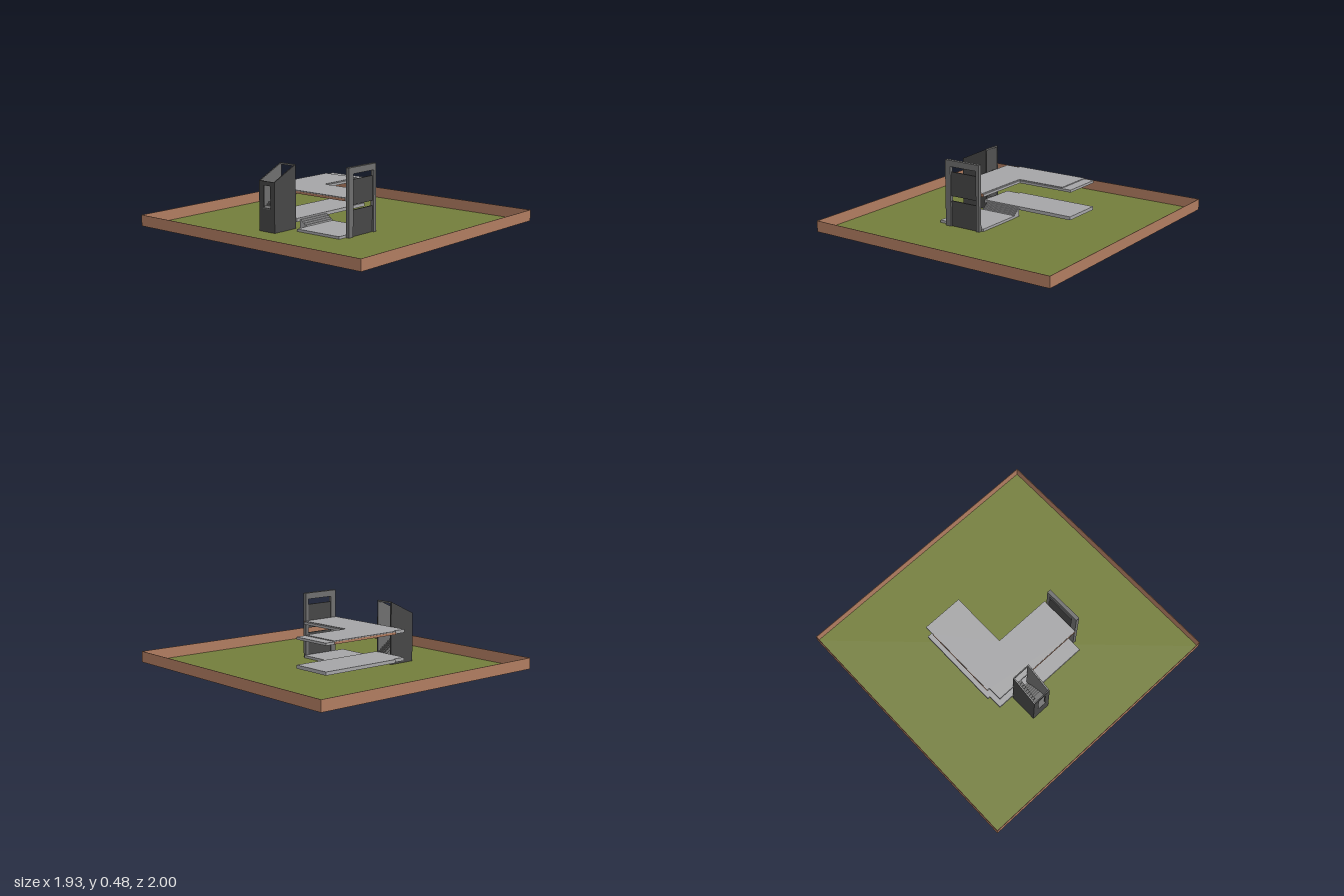
import * as THREE from 'three';

const mat = (name, color) => Object.assign(new THREE.MeshStandardMaterial({ color }), { name });

export function createModel() {
  const grass = mat('grass', 0x737d3b);
  grass.side = THREE.DoubleSide;
  const brick = mat('brick', 0xb07c60);
  const concrete = mat('pale concrete', 0xa5a5a7);
  const stone = mat('mid grey stone', 0x6e6e6e);
  const dark = mat('dark cladding', 0x464646);
  const root = new THREE.Group();
  root.name = 'houseOnPlot';

  const add = (name, geo, material, parent = root) => {
    const m = new THREE.Mesh(geo, material);
    m.name = name;
    parent.add(m);
    return m;
  };
  const group = (name) => {
    const g = new THREE.Group();
    g.name = name;
    root.add(g);
    return g;
  };
  // Box given by its minimum and maximum on each axis
  const box = (name, x0, x1, y0, y1, z0, z1, material, parent) =>
    add(name, new THREE.BoxGeometry(x1 - x0, y1 - y0, z1 - z0)
      .translate((x0 + x1) / 2, (y0 + y1) / 2, (z0 + z1) / 2), material, parent);
  const extrude = (pts, depth) => new THREE.ExtrudeGeometry(
    new THREE.Shape(pts.map(([a, b]) => new THREE.Vector2(a, b))), { depth, bevelEnabled: false });
  // Horizontal slab from an (x, z) outline
  const slab = (name, pts, y0, y1, material) =>
    add(name, extrude(pts.map(([x, z]) => [x, -z]), y1 - y0).rotateX(-Math.PI / 2).translate(0, y0, 0), material);
  // Upright plate from an (x, y) outline
  const plate = (name, pts, z0, z1, material, parent) =>
    add(name, extrude(pts, z1 - z0).translate(0, 0, z0), material, parent);

  // Plot with its low boundary wall
  add('lawn', new THREE.PlaneGeometry(1.93, 2).rotateX(-Math.PI / 2).translate(0, 0.001, 0), grass);
  const fence = group('boundaryWall');
  for (const s of [-1, 1]) {
    box('sideWall', s * 0.963 - 0.002, s * 0.963 + 0.002, 0, 0.08, -1, 1, brick, fence);
    box('endWall', -0.961, 0.961, 0, 0.08, s * 0.998 - 0.002, s * 0.998 + 0.002, brick, fence);
  }

  // Floors and roof
  const backPart = [[-0.33, -0.385], [-0.225, -0.385], [-0.225, -0.405], [0.415, -0.405], [0.415, -0.095]];
  slab('raisedFloor', [...backPart, [-0.33, -0.095]], 0.05, 0.075, concrete);
  box('frontTerrace', -0.395, -0.018, 0.002, 0.02, -0.035, 0.345, concrete);
  slab('roofSlab', [...backPart, [-0.015, -0.095], [-0.015, 0.343], [-0.33, 0.343]], 0.252, 0.27, concrete);
  slab('roofCover', [[-0.33, -0.385], [-0.225, -0.385], [-0.225, -0.405], [0.34, -0.405], [0.34, -0.105],
    [-0.025, -0.105], [-0.025, 0.343], [-0.33, 0.343]], 0.27, 0.276, concrete);
  const trim = group('roofEdgeTrim');
  box('backTrim', -0.225, 0.34, 0.253, 0.269, -0.407, -0.405, brick, trim);
  box('sideTrim', -0.332, -0.33, 0.253, 0.269, -0.1, 0.343, brick, trim);
  box('frontTrim', -0.035, -0.015, 0.253, 0.274, 0.343, 0.346, brick, trim);

  // Steps from the terrace to the raised floor
  const steps = group('terraceSteps');
  for (let i = 0; i < 4; i++)
    box('step', -0.3, -0.02, 0.003, 0.031 + i * 0.011, -0.05 - i * 0.015, -0.035 - i * 0.015, concrete, steps);

  // Tall front frame with two recessed panels and two open slots
  const frame = group('frontFrame');
  box('widePost', -0.325, -0.28, 0, 0.48, 0.345, 0.372, stone, frame);
  box('narrowPost', -0.06, -0.035, 0, 0.48, 0.345, 0.372, stone, frame);
  box('lintel', -0.28, -0.06, 0.435, 0.48, 0.345, 0.372, stone, frame);
  box('lowerPanel', -0.28, -0.06, 0, 0.185, 0.35, 0.36, dark, frame);
  box('upperPanel', -0.28, -0.06, 0.22, 0.395, 0.35, 0.36, dark, frame);

  // Open-topped stair tower with a sloping rim
  const tower = group('stairTower');
  const side = [[-0.54, 0], [-0.325, 0], [-0.325, 0.455], [-0.54, 0.355]];
  const lining = [[-0.532, 0], [-0.324, 0], [-0.324, 0.4545], [-0.532, 0.358]];
  plate('frontSide', side, -0.117, -0.11, dark, tower);
  plate('backSide', side, -0.255, -0.248, dark, tower);
  plate('frontLining', lining, -0.12, -0.117, stone, tower);
  plate('backLining', lining, -0.248, -0.245, stone, tower);
  for (const [x0, x1, m] of [[-0.54, -0.535, dark], [-0.535, -0.531, stone]]) {
    box('endWallBelowWindow', x0, x1, 0, 0.17, -0.248, -0.117, m, tower);
    box('endWallAboveWindow', x0, x1, 0.325, 0.355, -0.248, -0.117, m, tower);
    box('endWallBack', x0, x1, 0.17, 0.325, -0.248, -0.212, m, tower);
    box('endWallFront', x0, x1, 0.17, 0.325, -0.15, -0.117, m, tower);
  }
  box('windowSill', -0.547, -0.535, 0.163, 0.17, -0.215, -0.148, stone, tower);
  box('topBar', -0.333, -0.325, 0.443, 0.455, -0.248, -0.117, stone, tower);

  // Two stair flights and the landing between them
  const flight = (name, xStart, xEnd, y0, y1, z0, z1) => {
    const n = 8, dx = (xEnd - xStart) / n, dy = (y1 - y0) / n;
    const pts = [[xStart, y0]];
    for (let i = 0; i < n; i++)
      pts.push([xStart + i * dx, y0 + (i + 1) * dy], [xStart + (i + 1) * dx, y0 + (i + 1) * dy]);
    pts.push([xEnd, y1 - 0.025], [xStart, y0 - 0.02]);
    plate(name, pts, z0, z1, stone, tower);
  };
  flight('lowerFlight', -0.33, -0.475, 0.07, 0.17, -0.18, -0.12);
  flight('upperFlight', -0.475, -0.33, 0.17, 0.27, -0.245, -0.185);
  box('landing', -0.531, -0.475, 0.15, 0.17, -0.245, -0.12, stone, tower);

  return root;
}
